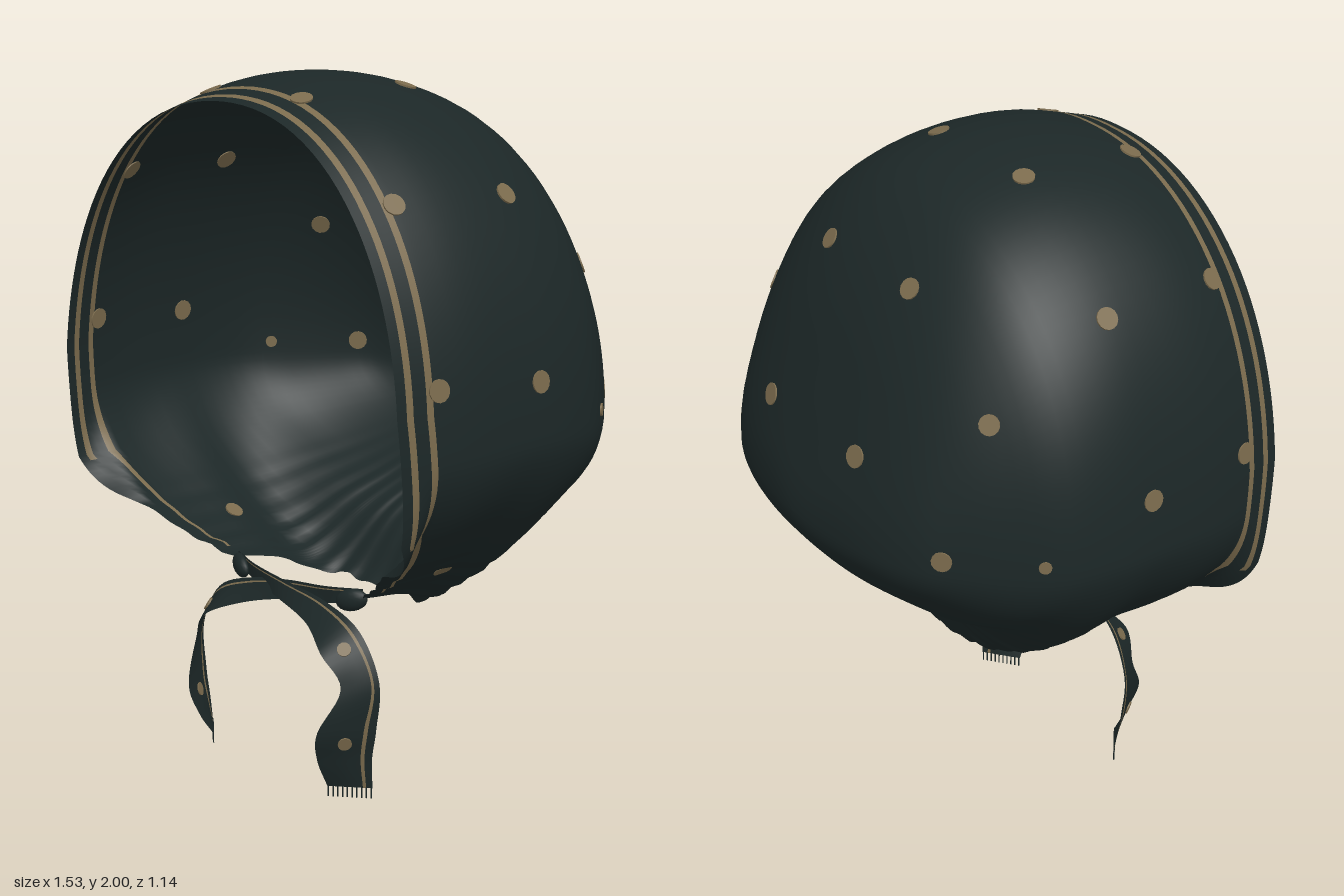
import * as THREE from 'three';

const cloth = new THREE.MeshStandardMaterial({ color: 0x1c2727, side: THREE.DoubleSide });
cloth.name = 'dark cloth';
const tan = new THREE.MeshStandardMaterial({ color: 0x7b6b4d, side: THREE.DoubleSide });
tan.name = 'tan print';

const CY = 1.05, BACK = -0.57, DEPTH = 1.14;
const smooth = THREE.MathUtils.smoothstep;
const vec = (a) => new THREE.Vector3(...a);
const spline = (pts) => new THREE.CatmullRomCurve3(pts.map(vec), false, 'catmullrom', 0.5);

// Half width, height above and depth below the axis, from the back to the front
const sections = spline([
  [0, 0, 0], [0.13, 0.09, 0.06], [0.32, 0.2, 0.11], [0.46, 0.36, 0.18], [0.55, 0.56, 0.25],
  [0.64, 0.73, 0.33], [0.725, 0.855, 0.42], [0.76, 0.92, 0.62], [0.762, 0.95, 0.575],
  [0.75, 0.94, 0.53], [0.71, 0.88, 0.5]]);

// Opening edge from the crown to the nape: angle from straight up, z
const edge = [[0, 0.55], [40, 0.565], [80, 0.575], [107, 0.55], [126, 0.43],
  [150, 0.3], [154, 0.1], [163, -0.03], [180, -0.05]];
const PER = 14, HALF = (edge.length - 1) * PER;

// Point on the bonnet at an angle (radians) and z, with gathers toward the neck
function surface(angle, z) {
  const q = Math.sqrt(Math.max(0, Math.min(1, (z - BACK) / DEPTH)));
  const s = sections.getPoint(q);
  const sn = Math.sin(angle), cs = Math.cos(angle);
  const n = cs >= 0 ? 2.18
    : 2.05 - 0.5 * smooth(z, -0.3, 0) + 0.25 * smooth(z, 0.1, 0.4) + 1.2 * smooth(z, 0.43, 0.55);
  const w = Math.max(s.x, 1e-4), h = Math.max(cs >= 0 ? s.y : s.z, 1e-4);
  let r = 1 / Math.pow(Math.pow(Math.abs(sn) / w, n) + Math.pow(Math.abs(cs) / h, n), 1 / n);
  const gather = smooth(Math.abs(angle), 1.95, 2.6) * smooth(q, 0.3, 0.6);
  r *= 1 + 0.008 * gather * Math.sin(angle * 46) * (1 + 0.4 * Math.sin(angle * 17));
  return new THREE.Vector3(r * sn, CY + r * cs, z);
}

// Sheet of quads; cells chosen by isTan go to the second material
function sheet(cols, rows, point, isTan, closed = false) {
  const pos = [], plain = [], printed = [];
  const across = closed ? cols : cols + 1;
  for (let j = 0; j <= rows; j++)
    for (let i = 0; i < across; i++) pos.push(...point(i, j).toArray());
  for (let j = 0; j < rows; j++)
    for (let i = 0; i < cols; i++) {
      const k = (i + 1) % across;
      const a = j * across + i, b = j * across + k, c = a + across, d = b + across;
      (isTan(i, j) ? printed : plain).push(a, b, c, b, d, c);
    }
  const geo = new THREE.BufferGeometry();
  geo.setAttribute('position', new THREE.Float32BufferAttribute(pos, 3));
  geo.setIndex([...plain, ...printed]);
  geo.addGroup(0, plain.length, 0);
  geo.addGroup(plain.length, printed.length, 1);
  geo.computeVertexNormals();
  return new THREE.Mesh(geo, [cloth, tan]);
}

// Hood with two printed stripes along the face; only the inner one runs on to the ties
function makeHood() {
  const bands = [0, 0.03, 0.05, 0.07, 0.09, 0.11, 0.13];
  const rows = 40, last = bands.length - 1;
  const hood = sheet(HALF * 2, rows, (i, j) => {
    const k = i - HALF, m = Math.abs(k) / PER;
    const e = Math.min(Math.floor(m), edge.length - 2), f = m - e;
    const angle = THREE.MathUtils.lerp(edge[e][0], edge[e + 1][0], f) * Math.PI / 180 * Math.sign(k);
    const front = THREE.MathUtils.lerp(edge[e][1], edge[e + 1][1], f);
    const tight = 1 - 0.5 * smooth(m, 3, 4.8);
    if (j <= last) return surface(angle, front - bands[j] * tight);
    const q = Math.sqrt((front - bands[last] * tight - BACK) / DEPTH) * (rows - j) / (rows - last);
    return surface(angle, BACK + DEPTH * q * q);
  }, (i, j) => {
    const m = Math.abs(i + 0.5 - HALF) / PER;
    return (j === 1 && m < 3.1) || (j === 4 && m < 4.8);
  }, true);
  hood.name = 'hood';
  return hood;
}

// Thin printed dot, showing on both sides of the cloth
function makeDot(x, y, z, radius) {
  const angle = Math.atan2(x, y - CY), p = surface(angle, z), e = 0.03;
  const du = surface(angle + e, z).sub(surface(angle - e, z));
  const dv = surface(angle, z - e).sub(surface(angle, z + e));
  const dot = new THREE.Mesh(new THREE.CylinderGeometry(radius, radius, 0.008, 14), tan);
  dot.position.copy(p);
  dot.quaternion.setFromUnitVectors(new THREE.Vector3(0, 1, 0), du.cross(dv).normalize());
  dot.name = 'dot';
  return dot;
}

// Tie ribbon crossing under the chin, with a stripe, dots and a fringe
function makeTie(s) {
  const tie = new THREE.Group();
  tie.name = s > 0 ? 'leftTie' : 'rightTie';
  const o = s * 0.006, drop = s > 0 ? 0 : 0.02;
  const path = spline([
    [-0.27, 0.565, 0.29], [-0.15, 0.55, 0.325], [0, 0.535, 0.345 + o], [0.15, 0.505, 0.36],
    [0.28, 0.45, 0.385], [0.35, 0.34, 0.375], [0.328, 0.21, 0.405], [0.308, 0.12, 0.395],
    [0.302, 0.03 + drop, 0.37]].map(([x, y, z]) => [x * s, y, z]));
  const width = spline([
    [0, 0.02, 0], [0, 0.025, 0], [0.004, 0.026, -0.01], [0.012, 0.03, -0.025],
    [0.025, 0.028, -0.05], [0.033, 0.008, -0.042], [0.045, 0, -0.07], [0.048, 0, -0.06],
    [0.05, 0, -0.04]].map(([x, y, z]) => [x * s, y, z]));
  const across = [-1, -0.4, 0.1, 0.58, 0.72, 1];
  const ribbon = sheet(5, 48, (i, j) =>
    path.getPoint(j / 48).addScaledVector(width.getPoint(j / 48), across[i]), (i) => i === 3);
  ribbon.name = 'ribbon';
  tie.add(ribbon);
  for (const t of [0.52, 0.8]) {
    const dot = new THREE.Mesh(new THREE.CylinderGeometry(0.02, 0.02, 0.008, 12), tan);
    dot.position.copy(path.getPoint(t));
    const normal = path.getTangent(t).cross(width.getPoint(t)).normalize();
    dot.quaternion.setFromUnitVectors(new THREE.Vector3(0, 1, 0), normal);
    dot.name = 'tieDot';
    tie.add(dot);
  }
  for (let i = 0; i < 10; i++) {
    const thread = new THREE.Mesh(new THREE.BoxGeometry(0.003, 0.032, 0.003), cloth);
    thread.position.copy(path.getPoint(1)).addScaledVector(width.getPoint(1), -0.95 + i * 0.21);
    thread.position.y -= 0.014;
    thread.name = 'fringe';
    tie.add(thread);
  }
  return tie;
}

export function createModel() {
  const bonnet = new THREE.Group();
  bonnet.name = 'bonnet';
  bonnet.add(makeHood());

  // Scattered dots with their radius, then the ones touching the inner stripe
  const dots = [
    [0.2, 1.96, 0.065, 0.031], [0.6, 1.72, 0.06, 0.031], [0.75, 1.22, 0.1, 0.031],
    [0.2, 1.74, -0.3, 0.03], [0.55, 1.48, -0.285, 0.029], [0.185, 1.26, -0.495, 0.032],
    [0.49, 1.09, -0.42, 0.029], [0.69, 1.09, -0.21, 0.018], [0.45, 0.65, 0.155, 0.028],
    [0.19, 1.95, 0.435, 0.031], [0.55, 1.7, 0.44, 0.031], [0.72, 1.24, 0.445, 0.031]];
  for (const [x, y, z, radius] of dots)
    for (const s of [-1, 1]) bonnet.add(makeDot(s * x, y, z, radius));

  // Gathered corners where the ties start
  for (const s of [-1, 1]) {
    const corner = new THREE.Mesh(new THREE.SphereGeometry(1, 16, 10), cloth);
    corner.scale.set(0.05, 0.032, 0.022);
    corner.position.set(s * 0.24, 0.55, 0.305);
    corner.rotation.set(0, s * 0.4, s * 0.25);
    corner.name = 'gatheredCorner';
    bonnet.add(corner, makeTie(s));
  }
  return bonnet;
}
